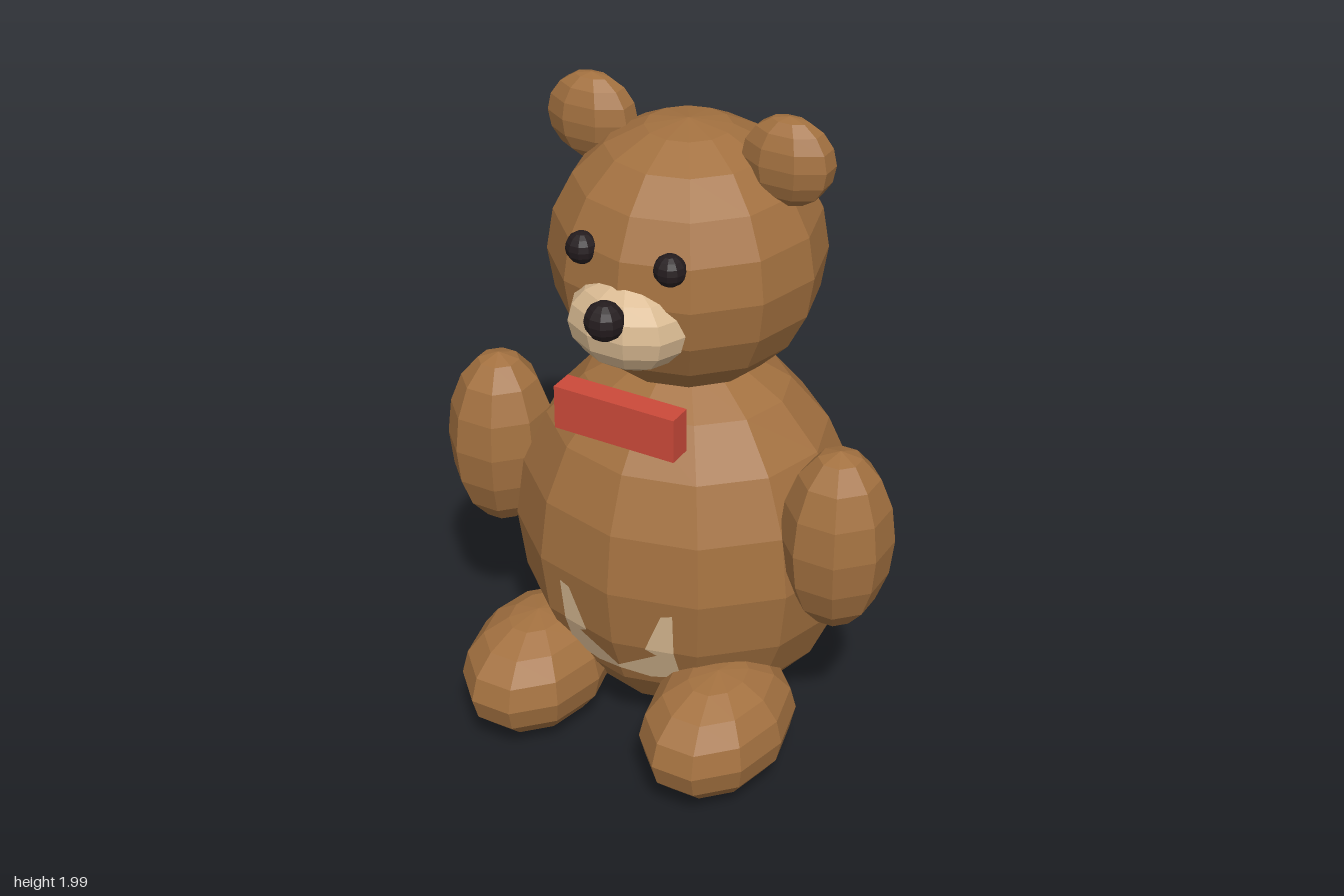
import * as THREE from 'three';

function material(name, color) {
  const m = new THREE.MeshStandardMaterial({ color, flatShading: true });
  m.name = name;
  return m;
}

export function createModel() {
  const bear = new THREE.Group();
  bear.name = 'teddyBear';

  const fur = material('brownFur', 0xa37140);
  const cream = material('creamFur', 0xd9ba92);
  const black = material('black', 0x241c1e);
  const red = material('redBow', 0xcc4a3a);
  cream.side = THREE.DoubleSide;

  // Faceted ellipsoid; turn rotates the facets before scaling
  function ball(name, mat, pos, radii, cols, rows, turn = 0) {
    const geo = new THREE.SphereGeometry(1, cols, rows);
    geo.rotateY(turn).scale(...radii);
    const mesh = new THREE.Mesh(geo, mat);
    mesh.name = name;
    mesh.position.set(...pos);
    bear.add(mesh);
  }

  // Body and head
  ball('body', fur, [0, 0.617, -0.085], [0.53, 0.61, 0.475], 12, 10);
  ball('head', fur, [0, 1.53, -0.085], [0.4, 0.4, 0.4], 12, 10);

  // Face
  ball('muzzle', cream, [0, 1.453, 0.255], [0.182, 0.135, 0.13], 10, 8);
  ball('nose', black, [0, 1.513, 0.377], [0.058, 0.058, 0.056], 10, 8);

  // Paired parts
  for (const [side, s] of [['left', 1], ['right', -1]]) {
    ball(side + 'Eye', black, [s * 0.138, 1.65, 0.262], [0.047, 0.047, 0.045], 10, 8);
    ball(side + 'Ear', fur, [s * 0.31, 1.87, -0.087], [0.14, 0.13, 0.082], 8, 8, Math.PI / 8);
    ball(side + 'Arm', fur, [s * 0.568, 0.81, 0.057], [0.165, 0.29, 0.167], 8, 8, Math.PI / 8);
    ball(side + 'Leg', fur, [s * 0.31, 0.2, 0.28], [0.21, 0.188, 0.295], 10, 8);
  }

  // Bow at the neck
  const bow = new THREE.Mesh(new THREE.BoxGeometry(0.385, 0.135, 0.075), red);
  bow.name = 'bow';
  bow.position.set(0, 1.167, 0.303);
  bear.add(bow);

  // Belly patch: flat pieces laid on the front facets of the body
  const rowTop = [0.617, 1], rowMid = [0.4285, 0.951], rowLow = [0.2584, 0.809];
  const pieces = [
    [rowMid, rowTop, [[0.19, 0.575], [0.155, 0.565], [0.1, 0.4285], [0.185, 0.4285]]],
    [rowLow, rowMid, [[0.185, 0.4285], [0.1, 0.4285], [0.13, 0.405], [0, 0.325],
      [0, 0.312], [0.09, 0.29], [0.185, 0.31]]],
  ];
  for (const [low, high, outline] of pieces) {
    const geo = new THREE.ShapeGeometry(
      new THREE.Shape(outline.map(([x, y]) => new THREE.Vector2(x, y))));
    const p = geo.attributes.position;
    for (let i = 0; i < p.count; i++) {
      const t = (p.getY(i) - low[0]) / (high[0] - low[0]);
      const ring = low[1] + t * (high[1] - low[1]);
      p.setZ(i, -0.081 + 0.475 * ring - 0.24 * p.getX(i));
    }
    geo.computeVertexNormals();
    for (const s of [1, -1]) {
      const patch = new THREE.Mesh(geo, cream);
      patch.name = 'bellyPatch';
      patch.scale.x = s;
      bear.add(patch);
    }
  }

  return bear;
}
